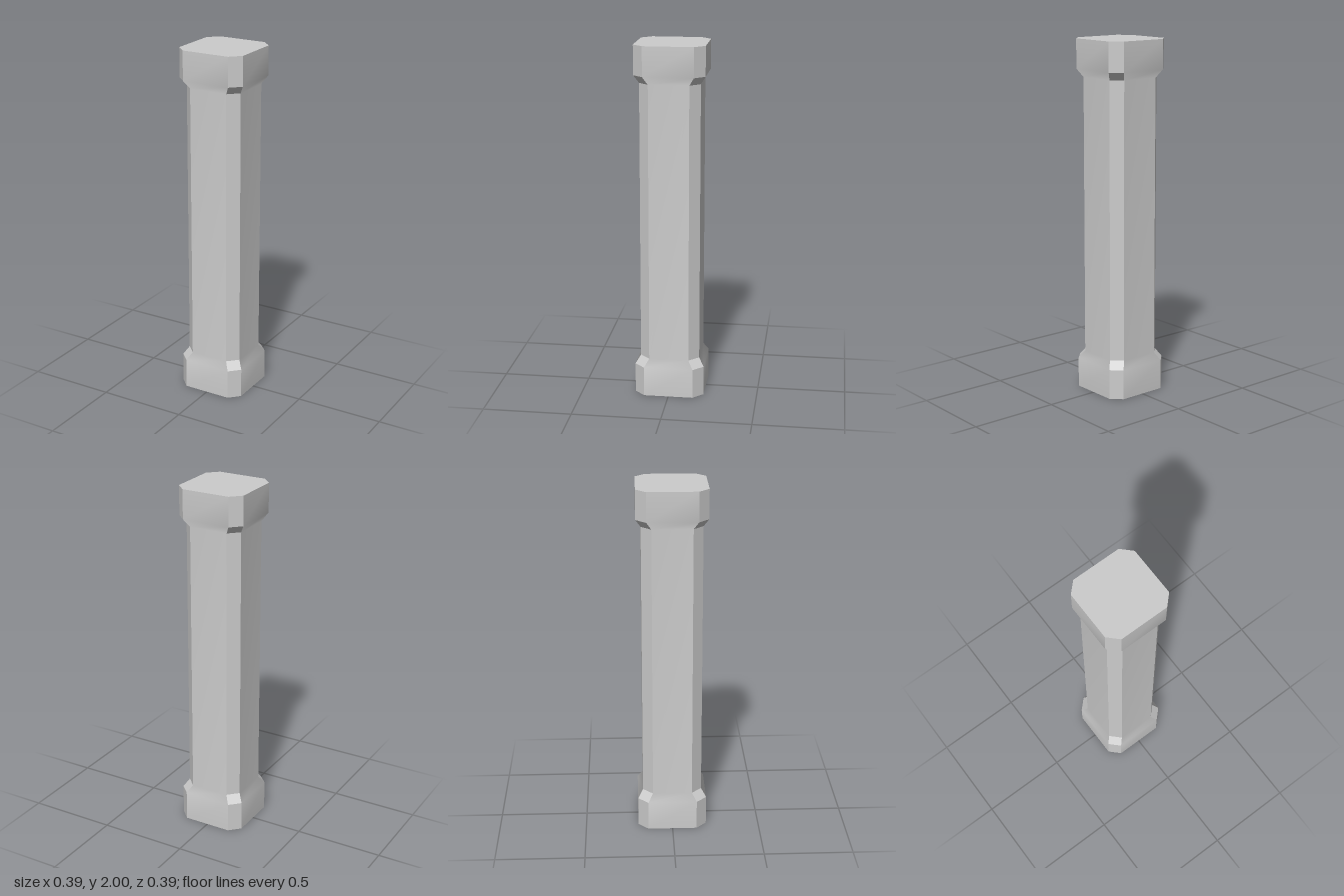
import * as THREE from 'three';

// Levels from bottom to top: [height, half width, half width of the flat face]
const LEVELS = [
  [0, 0.196, 0.139], [0.17, 0.196, 0.139], [0.215, 0.168, 0.112],
  [1.79, 0.168, 0.112], [1.835, 0.196, 0.139], [2, 0.196, 0.139],
];

// A vertical strip of quads through pairs of [left, right] points
function strip(rows) {
  const geo = new THREE.BufferGeometry();
  const index = [];
  for (let i = 0; i < rows.length - 1; i++) {
    const a = i * 2;
    index.push(a, a + 1, a + 3, a, a + 3, a + 2);
  }
  geo.setAttribute('position', new THREE.Float32BufferAttribute(rows.flat(2), 3));
  geo.setIndex(index);
  geo.computeVertexNormals();
  return geo;
}

export function createModel() {
  const group = new THREE.Group();
  group.name = 'pillar';
  const material = new THREE.MeshStandardMaterial({ color: 0xcccccc });
  const add = (geo, name) => {
    const mesh = new THREE.Mesh(geo, material);
    mesh.name = name;
    group.add(mesh);
    return mesh;
  };

  // Broad faces shade softly over the flares; corner bevels stay crisp
  const face = strip(LEVELS.map(([y, h, f]) => [[-f, y, h], [f, y, h]]));
  const bevelRows = LEVELS.map(([y, h, f]) => [[f, y, h], [h, y, f]]);
  const bevel = strip(bevelRows).toNonIndexed();
  bevel.computeVertexNormals();
  for (let i = 0; i < 4; i++) {
    add(face, 'broadFace').rotation.y = i * Math.PI / 2;
    add(bevel, 'cornerBevel').rotation.y = i * Math.PI / 2;
  }

  // Octagonal end caps
  const [, h, f] = LEVELS[0];
  const outline = [[f, h], [h, f], [h, -f], [f, -h], [-f, -h], [-h, -f], [-h, f], [-f, h]];
  const cap = new THREE.ShapeGeometry(new THREE.Shape(outline.map(([x, y]) => new THREE.Vector2(x, y))));
  const top = add(cap, 'topCap');
  top.rotation.x = -Math.PI / 2;
  top.position.y = 2;
  add(cap, 'bottomCap').rotation.x = Math.PI / 2;
  return group;
}
